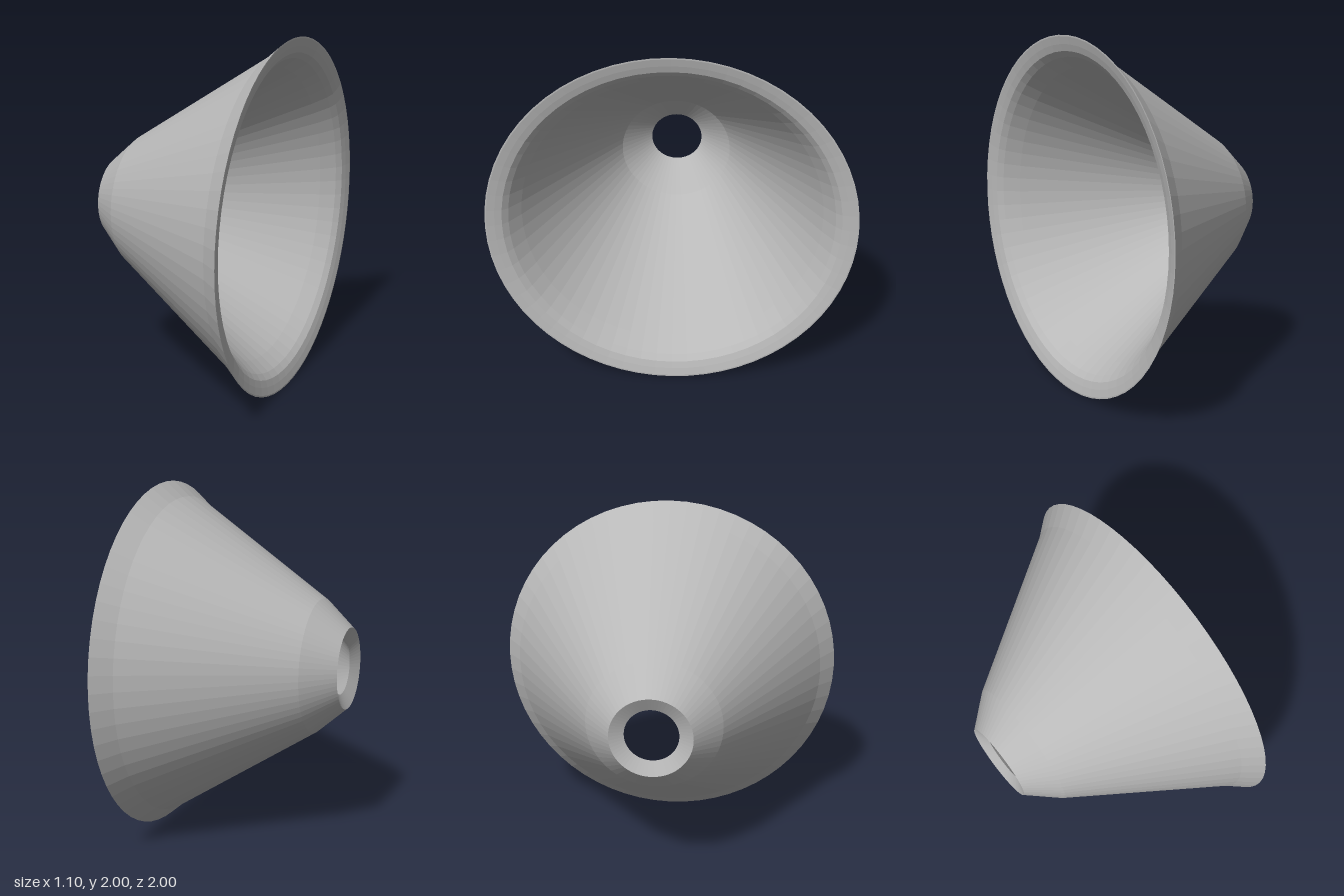
import * as THREE from 'three';

const SEGMENTS = 64;

export function createModel() {
  const group = new THREE.Group();
  group.name = 'flaredCone';

  const grey = new THREE.MeshStandardMaterial({ color: 0xb8b8b8, flatShading: true });
  grey.name = 'plain grey';

  // Revolve a profile of [x, radius] pairs around the x axis
  const revolve = (name, profile) => {
    const points = profile.map(([x, r]) => new THREE.Vector2(r, x));
    const geometry = new THREE.LatheGeometry(points, SEGMENTS);
    geometry.rotateZ(-Math.PI / 2);
    const mesh = new THREE.Mesh(geometry, grey);
    mesh.name = name;
    mesh.position.y = 1;
    group.add(mesh);
  };

  // Outside wall, from the narrow end to the wide rim
  revolve('outerWall', [[-0.55, 0.23], [-0.38, 0.38], [0.45, 0.915], [0.55, 1]]);

  // Thin rim and rounded flare of the mouth
  revolve('mouthFlare', [[0.55, 1], [0.55, 0.992], [0.54, 0.95], [0.528, 0.912], [0.5, 0.88], [0.42, 0.82]]);

  // Inside wall, narrowing to the throat
  revolve('innerWall', [[0.42, 0.82], [-0.35, 0.32], [-0.51, 0.15]]);

  // Dished end face around the hole
  revolve('endFace', [[-0.51, 0.15], [-0.55, 0.23]]);

  return group;
}
